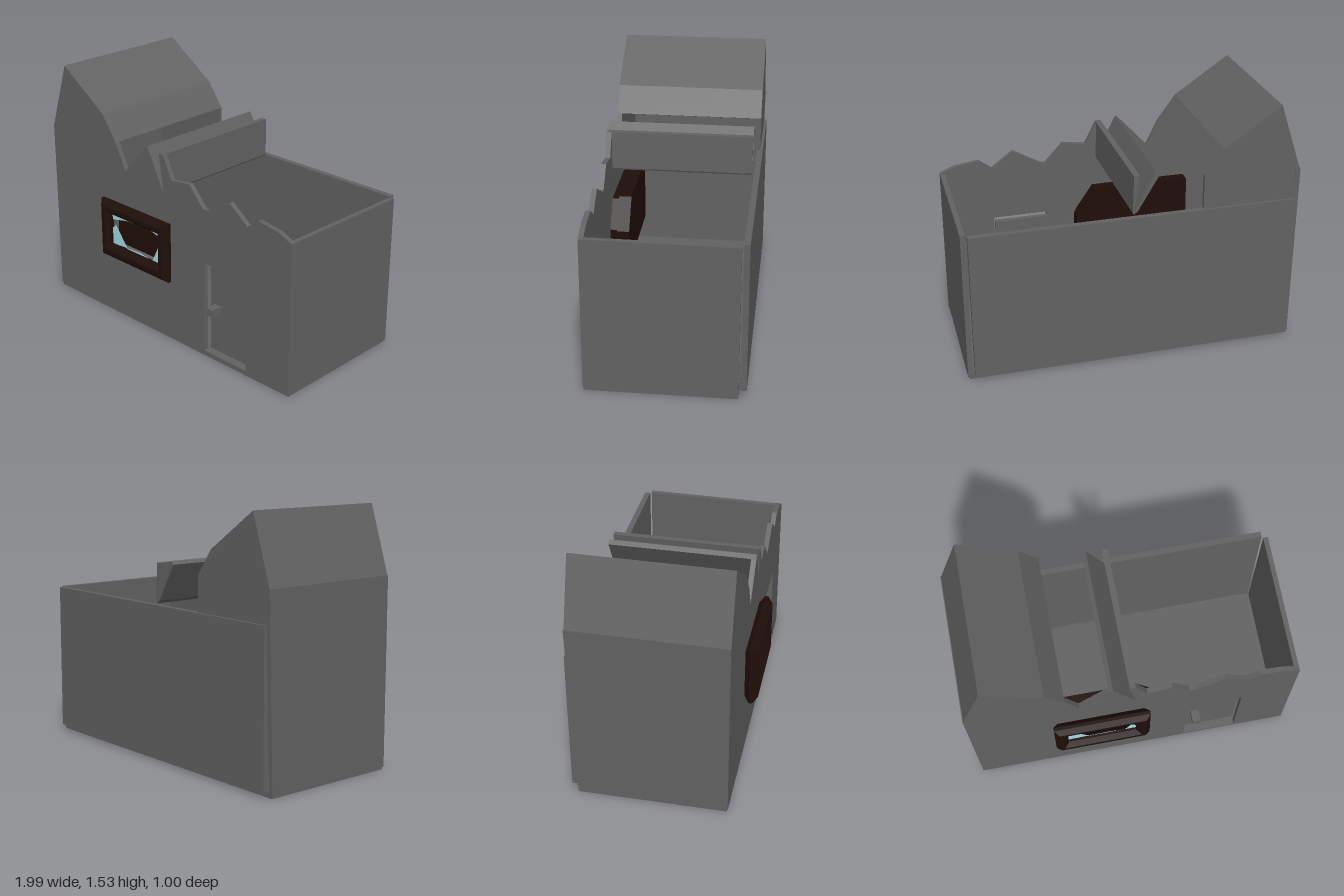
import * as THREE from 'three';

const grey = new THREE.MeshStandardMaterial({ color: 0x626262, flatShading: true, side: THREE.DoubleSide });
const brown = new THREE.MeshStandardMaterial({ color: 0x1f0e08, flatShading: true });
const blue = new THREE.MeshStandardMaterial({ color: 0xa4dce6, side: THREE.DoubleSide });

const v2 = (pts) => pts.map(([x, y]) => new THREE.Vector2(x, y));
const rect = (x0, x1, y0, y1) => [[x0, y0], [x1, y0], [x1, y1], [x0, y1]];

export function createModel() {
  const house = new THREE.Group();
  house.name = 'ruinedHouse';

  const add = (name, geometry, material) => {
    const mesh = new THREE.Mesh(geometry, material);
    mesh.name = name;
    house.add(mesh);
    return mesh;
  };
  const box = (name, [x0, x1], [y0, y1], [z0, z1]) =>
    add(name, new THREE.BoxGeometry(x1 - x0, y1 - y0, z1 - z0), grey)
      .position.set((x0 + x1) / 2, (y0 + y1) / 2, (z0 + z1) / 2);
  // Flat outline given a thickness
  const extrude = (pts, depth, holes = []) => {
    const shape = new THREE.Shape(v2(pts));
    holes.forEach((h) => shape.holes.push(new THREE.Path(v2(h))));
    return new THREE.ExtrudeGeometry(shape, { depth, bevelEnabled: false });
  };
  // Outline in x and y, extruded from z0 to z1
  const slab = (name, pts, z0, z1, holes = [], material = grey) =>
    add(name, extrude(pts, z1 - z0, holes).translate(0, 0, z0), material);

  // Remaining roof outline, from the left eave over the peak to the broken edge
  const roofLine = [[-0.99, 1.13], [-0.86, 1.53], [-0.52, 1.3], [-0.41, 1.15]];

  // Front wall with ragged top, door and window openings
  const frontOutline = [
    [-0.99, 0.015], [0.985, 0.015], [0.985, 0.94], [0.89, 0.98], [0.745, 1.0], [0.665, 0.94],
    [0.53, 1.04], [0.355, 0.94], [0.325, 0.94], [0.215, 1.06], [0.07, 1.04], [0, 1.18],
    [-0.035, 1.18], [0, 0.94], [-0.13, 1.2], [-0.155, 1.18], [-0.33, 0.99],
    ...[...roofLine].reverse(),
  ];
  slab('frontWall', frontOutline, 0.39, 0.42,
    [rect(0.33, 0.665, 0.035, 0.605), rect(-0.44, 0.02, 0.48, 0.72)]);

  // Floor, side walls leaning out towards the back, and back wall
  box('floor', [-0.99, 0.985], [0, 0.03], [-0.455, 0.415]);
  const leftPlan = [[0.955, -0.42], [0.985, -0.42], [0.997, 0.457], [0.967, 0.457]];
  add('leftSideWall', extrude(leftPlan, 0.925).rotateX(-Math.PI / 2).translate(0, 0.015, 0), grey);
  const rightProfile = [[0.42, 0.015], [0.42, 1.13], [-0.488, 1.13], [-0.457, 0.015]];
  add('rightSideWall', extrude(rightProfile, 0.03).rotateY(-Math.PI / 2).translate(-0.965, 0, 0), grey);
  box('backWall', [-0.97, 0.96], [0.04, 0.94], [-0.5, -0.465]);

  // Surviving roof shell and its back gable
  const roofInner = [[-0.965, 1.13], [-0.845, 1.49], [-0.54, 1.28], [-0.435, 1.14]];
  slab('roof', [...roofLine, ...roofInner.reverse()], -0.475, 0.42);
  slab('backGable', [[-0.99, 0.9], ...roofLine, [-0.41, 0.9]], -0.484, -0.46);

  // Two fallen roof planks forming a V
  slab('leaningPlank', [[-0.155, 1.18], [-0.13, 1.2], [0, 0.94], [-0.025, 0.96]], -0.455, 0.4);
  slab('uprightPlank', [[-0.035, 1.18], [0, 1.18], [0.005, 0.95], [0, 0.94]], -0.455, 0.4);

  // Recessed door with a square knob
  box('door', [0.335, 0.665], [0.035, 0.6], [0.34, 0.37]);
  box('doorKnob', [0.37, 0.42], [0.295, 0.34], [0.37, 0.443]);

  // Bevelled window frame outside
  const frame = new THREE.Shape(v2(rect(-0.47, 0.055, 0.44, 0.755)));
  frame.holes.push(new THREE.Path(v2(rect(-0.45, 0.03, 0.47, 0.73))));
  add('windowFrame', new THREE.ExtrudeGeometry(frame, {
    depth: 0.02, bevelThickness: 0.03, bevelSize: 0.03, bevelSegments: 1,
  }).translate(0, 0, 0.45), brown);

  // Boarding inside the window, with a broken upper corner
  slab('innerWindowBoard',
    [[-0.56, 0.38], [0.16, 0.38], [0.16, 0.6], [0.04, 0.78], [-0.56, 0.78]], 0.27, 0.345, [], brown);
  slab('innerWindowStep',
    [[-0.54, 0.4], [0.14, 0.4], [0.14, 0.6], [0.03, 0.76], [-0.54, 0.76]], 0.345, 0.388, [], brown);

  // Glass shards left along the edges of the broken pane
  const shards = [
    [[-0.425, 0.705], [-0.27, 0.705], [-0.3, 0.685], [-0.415, 0.66]],
    [[-0.3, 0.705], [-0.17, 0.705], [-0.18, 0.692], [-0.3, 0.686]],
    [[-0.18, 0.705], [0.005, 0.705], [-0.005, 0.672], [-0.07, 0.688]],
    [[-0.425, 0.495], [-0.29, 0.507], [-0.39, 0.63], [-0.425, 0.6]],
    [[-0.3, 0.495], [-0.06, 0.495], [-0.17, 0.513], [-0.29, 0.507]],
    [[-0.07, 0.495], [0.005, 0.495], [0.005, 0.52], [-0.02, 0.595]],
  ];
  const glass = new THREE.ShapeGeometry(shards.map((s) => new THREE.Shape(v2(s))));
  add('glassShards', glass.translate(0, 0, 0.455), blue);

  return house;
}
